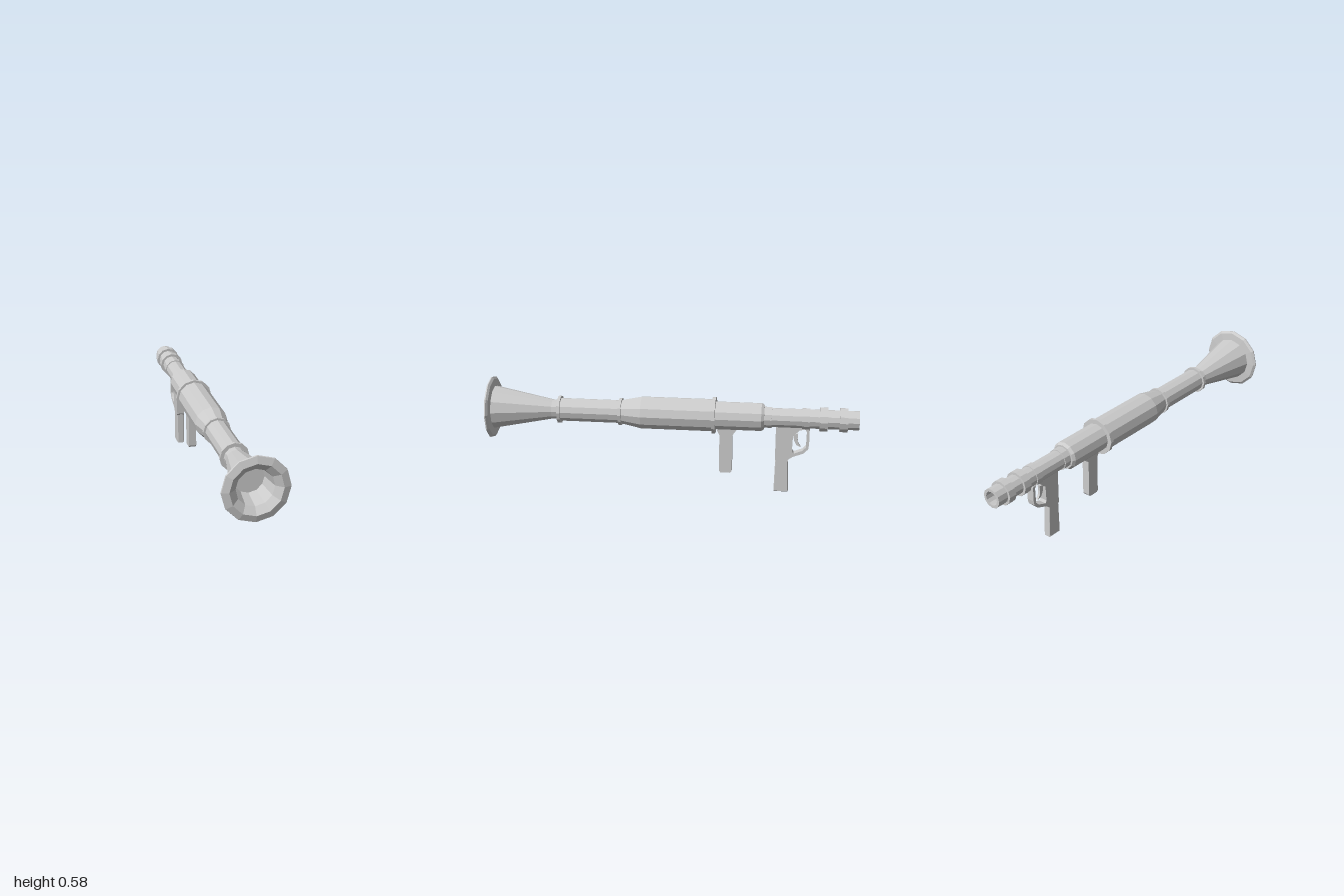
import * as THREE from 'three';

const AXIS_Y = 0.415;
const SIDES = 12;

export function createModel() {
  const model = new THREE.Group();
  const material = new THREE.MeshStandardMaterial({ color: 0xcccccc, flatShading: true });

  function add(name, geometry) {
    const mesh = new THREE.Mesh(geometry, material);
    mesh.name = name;
    model.add(mesh);
  }

  // Faceted part turned around the barrel axis; profile points are [radius, z]
  function turned(name, profile) {
    const points = profile.map(([r, z]) => new THREE.Vector2(r, z));
    const geometry = new THREE.LatheGeometry(points, SIDES);
    geometry.rotateX(Math.PI / 2).translate(0, AXIS_Y, 0);
    add(name, geometry);
  }

  // Raised band with square edges
  function band(name, z0, z1, r) {
    turned(name, [[0.045, z0], [r, z0], [r, z1], [0.045, z1]]);
  }

  // Side outline [z, y] given thickness across x, with an optional opening
  function plate(name, outline, width, hole, bevel = 0) {
    const toPoints = (list) => list.map(([z, y]) => new THREE.Vector2(-z, y));
    const shape = new THREE.Shape(toPoints(outline));
    if (hole) shape.holes.push(new THREE.Path(toPoints(hole)));
    const depth = width - 2 * bevel;
    const geometry = new THREE.ExtrudeGeometry(shape, {
      depth, bevelEnabled: bevel > 0, bevelSize: bevel, bevelOffset: -bevel,
      bevelThickness: bevel, bevelSegments: 1,
    });
    geometry.translate(0, 0, -depth / 2).rotateY(Math.PI / 2);
    add(name, geometry);
  }

  // Flared horn with a rolled lip and a recessed mouth
  turned('horn', [
    [0.052, 0.61], [0.054, 0.65], [0.118, 0.97], [0.158, 0.973], [0.17, 0.983],
    [0.168, 0.99], [0.132, 1.0], [0.095, 0.97], [0.077, 0.86], [0, 0.86],
  ]);

  // Main body: front tube, tapered chamber and rear sleeve
  turned('frontTube', [[0.063, 0.26], [0.063, 0.61], [0.05, 0.625]]);
  turned('chamber', [[0.07, -0.23], [0.088, -0.23], [0.088, 0.16], [0.066, 0.265], [0.05, 0.265]]);
  turned('rearSleeve', [[0.05, -0.5], [0.066, -0.5], [0.076, -0.485], [0.076, -0.23]]);

  // Rear tube with an open bore
  turned('rearTube', [
    [0, -0.88], [0.037, -0.88], [0.037, -1], [0.052, -1], [0.052, -0.49],
  ]);

  // Bands along the barrel
  const bands = [
    ['hornBand', 0.602, 0.618, 0.075],
    ['tubeBand', 0.268, 0.284, 0.074],
    ['chamberBand', -0.24, -0.222, 0.1],
    ['frontClamp', -0.54, -0.495, 0.057],
    ['rearClamp', -0.74, -0.7, 0.057],
    ['muzzleBandInner', -0.835, -0.792, 0.065],
    ['muzzleBandOuter', -0.94, -0.897, 0.065],
  ];
  bands.forEach((b) => band(...b));

  // Forward grip, flared where it meets the body
  plate('forwardGrip', [
    [-0.24, 0.355], [-0.262, 0.31], [-0.262, 0.106], [-0.27, 0.096], [-0.324, 0.096],
    [-0.331, 0.106], [-0.331, 0.31], [-0.362, 0.355],
  ], 0.042);

  // Trigger housing and guard cut from one plate
  plate('triggerHousing', [
    [-0.563, 0.385], [-0.563, 0.185], [-0.57, 0.172], [-0.628, 0.172], [-0.632, 0.185],
    [-0.655, 0.202], [-0.715, 0.225], [-0.738, 0.25], [-0.742, 0.275],
    [-0.742, 0.355], [-0.725, 0.385],
  ], 0.042, [
    [-0.69, 0.355], [-0.655, 0.32], [-0.652, 0.235], [-0.66, 0.222], [-0.708, 0.24],
    [-0.726, 0.26], [-0.728, 0.345], [-0.72, 0.36],
  ]);

  // Curved trigger
  plate('trigger', [
    [-0.655, 0.325], [-0.662, 0.29], [-0.675, 0.265], [-0.698, 0.256],
    [-0.684, 0.278], [-0.68, 0.3], [-0.682, 0.33],
  ], 0.014);

  // Lower pistol grip
  plate('pistolGrip', [
    [-0.564, 0.176], [-0.56, 0.0], [-0.638, 0.0], [-0.632, 0.176],
  ], 0.039, null, 0.003);

  return model;
}
